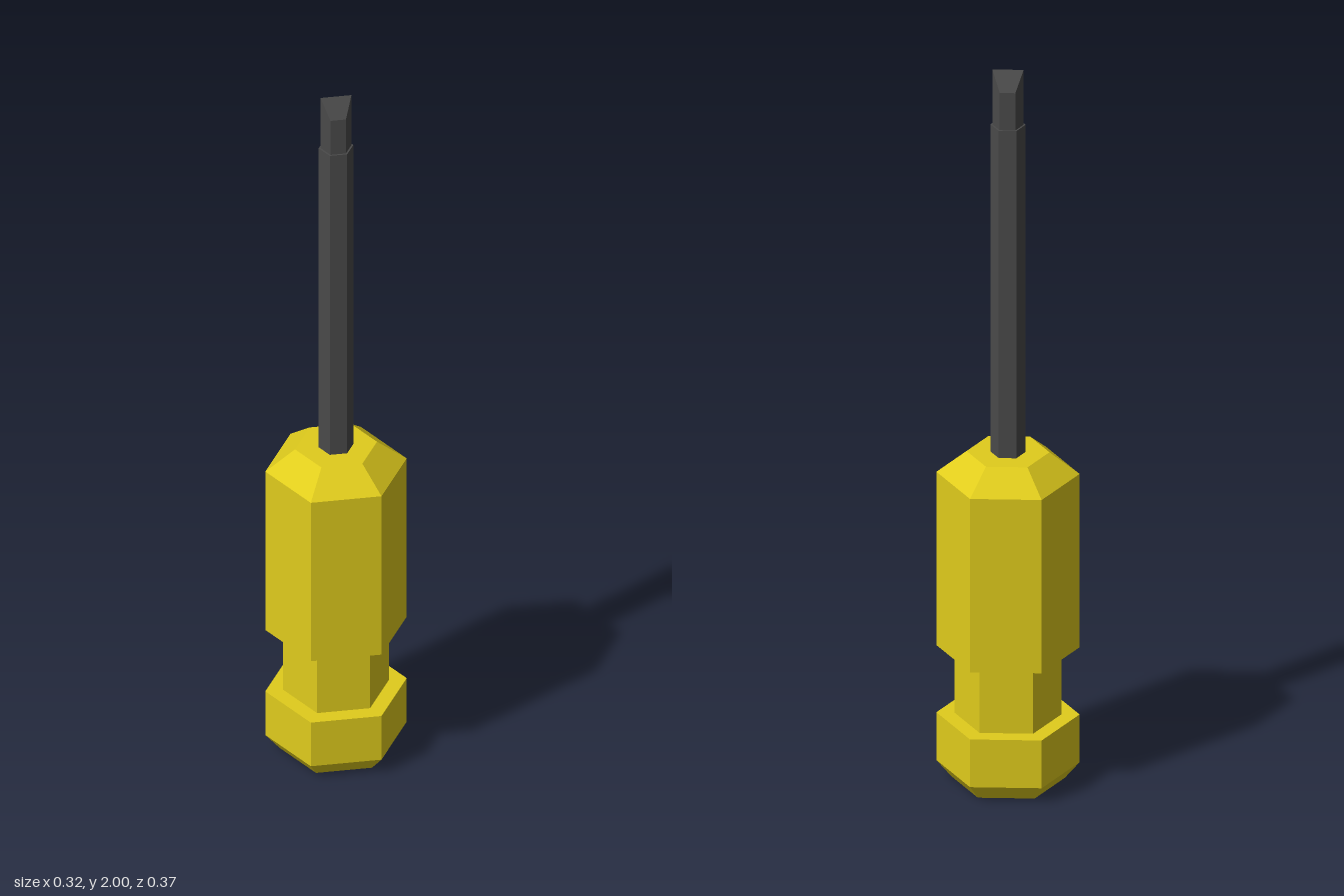
import * as THREE from 'three';

const yellow = new THREE.MeshStandardMaterial({ color: 0xe0cc1c, flatShading: true });
const steel = new THREE.MeshStandardMaterial({ color: 0x4a4a4a, flatShading: true });

// Hexagonal rod standing between two heights, corners on +z and -z
function hexRod(radius, y0, y1) {
  return new THREE.CylinderGeometry(radius, radius, y1 - y0, 6).translate(0, (y0 + y1) / 2, 0);
}

export function createModel() {
  const model = new THREE.Group();
  model.name = 'screwdriver';
  const add = (name, geometry, material) => {
    const mesh = new THREE.Mesh(geometry, material);
    mesh.name = name;
    model.add(mesh);
  };

  // Six-sided handle: chamfered pommel, narrow neck, long grip with chamfered shoulder
  const profile = [
    [0, 0], [0.145, 0], [0.183, 0.045], [0.183, 0.18], [0.137, 0.18],
    [0.137, 0.37], [0.183, 0.37], [0.183, 0.86], [0.106, 0.92], [0, 0.92],
  ].map(([r, y]) => new THREE.Vector2(r, y));
  add('handle', new THREE.LatheGeometry(profile, 6), yellow);

  // Shaft, set slightly into the handle
  add('shaft', hexRod(0.045, 0.88, 1.845), steel);

  // Blade tip: the top falls away on both sides of a corner-to-corner ridge
  const tip = hexRod(0.04, 1.82, 2);
  const p = tip.attributes.position;
  for (let i = 0; i < p.count; i++) {
    if (p.getY(i) < 1.9) continue;
    const fromRidge = Math.abs(p.getX(i) * 0.5 + p.getZ(i) * Math.sqrt(0.75));
    p.setY(i, 2 - fromRidge * 1.44);
  }
  tip.computeVertexNormals();
  add('bladeTip', tip, steel);

  return model;
}
